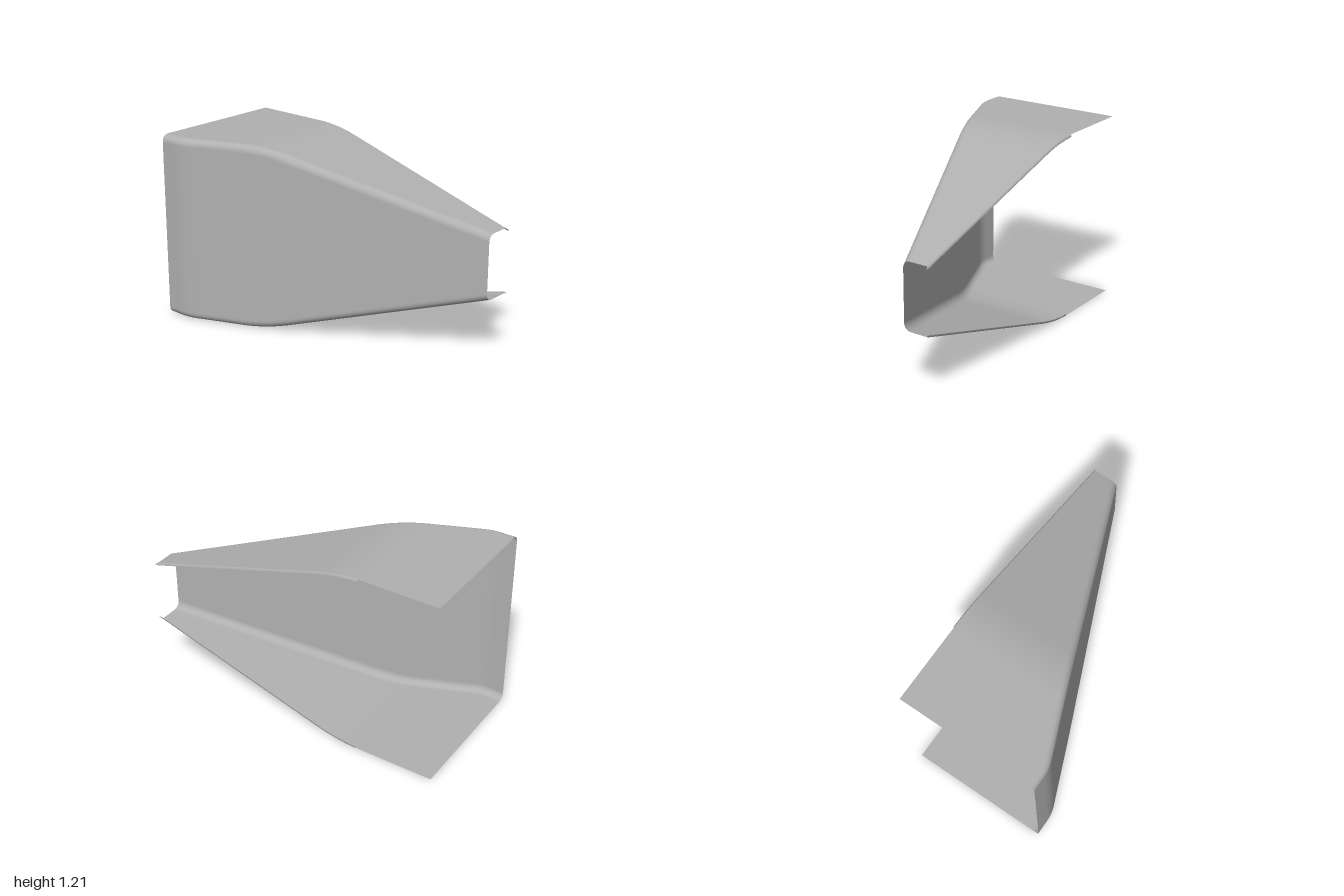
import * as THREE from 'three';

const MID = 0.605, BACK = -0.457, END = 0.98, R = 0.045;

// Two straight runs joined by a smooth bend between a and b
function bend(x, flat, slope, a, b) {
  if (x <= a) return flat;
  const c = (a + b) / 2;
  if (x >= b) return flat + slope * (x - c);
  return flat + slope * (x - a) ** 2 / (2 * (b - a));
}
const halfHeight = x => bend(x, 0.605, -0.296, -0.5, -0.21);
const frontZ = x => bend(x, 0.463, -0.413, -0.9, -0.8);

// Surface through a row of equal-length cross-sections
function loft(sections) {
  const n = sections[0].length, index = [];
  for (let i = 0; i < sections.length - 1; i++) {
    for (let j = 0; j < n - 1; j++) {
      const a = i * n + j, b = a + n;
      index.push(a, a + 1, b, b, a + 1, b + 1);
    }
  }
  const geo = new THREE.BufferGeometry();
  geo.setAttribute('position', new THREE.Float32BufferAttribute(sections.flat(2), 3));
  geo.setIndex(index);
  geo.computeVertexNormals();
  return geo;
}

// C-shaped section: top wall, rounded corner, front wall, rounded corner, bottom wall
function channelSection(x) {
  const h = halfHeight(x), z = frontZ(x), half = [];
  half.push([x, h, BACK], [x, h, z - R - 0.003]);
  for (let i = 0; i <= 8; i++) {
    const t = i / 8 * Math.PI / 2;
    half.push([x, h - R + R * Math.cos(t), z - R + R * Math.sin(t)]);
  }
  half.push([x, h - R - 0.003, z]);
  const lower = half.map(([px, y, pz]) => [px, -y, pz]).reverse();
  return [...half, ...lower].map(([px, y, pz]) => [px, y + MID, pz]);
}

// Positions along x, dense in the bends
function stations(start) {
  const xs = [-1, -0.91, END - 0.01, END];
  for (let i = 0; i <= 8; i++) xs.push(-0.9 + 0.1 * i / 8);
  for (let i = 0; i <= 14; i++) xs.push(-0.5 + 0.29 * i / 14);
  for (let i = 0; i < 10; i++) xs.push(-0.15 + 0.11 * i);
  xs.push(-0.79, -0.65, -0.52, -0.2);
  return xs.filter(x => x >= start).sort((a, b) => a - b);
}

export function createModel() {
  const group = new THREE.Group();
  const metal = new THREE.MeshStandardMaterial({ color: 0xb0b0b0, side: THREE.DoubleSide });
  metal.name = 'grey sheet metal';

  // Tapering open channel
  const channel = new THREE.Mesh(loft(stations(-1).map(channelSection)), metal);
  channel.name = 'channel';
  group.add(channel);

  // Narrow inward lips along the rear edges, running slightly past the small end
  for (const side of [1, -1]) {
    const rows = stations(-0.485).map(x => {
      const h = halfHeight(x), reach = x === END ? 0.02 : 0;
      const row = [[x + reach, MID + side * (h - 0.015), -0.464], [x + reach / 2, MID + side * (h - 0.005), -0.463],
        [x, MID + side * h, BACK]];
      return side > 0 ? row : row.reverse();
    });
    const lip = new THREE.Mesh(loft(rows), metal);
    lip.name = side > 0 ? 'upperLip' : 'lowerLip';
    group.add(lip);
  }
  return group;
}
